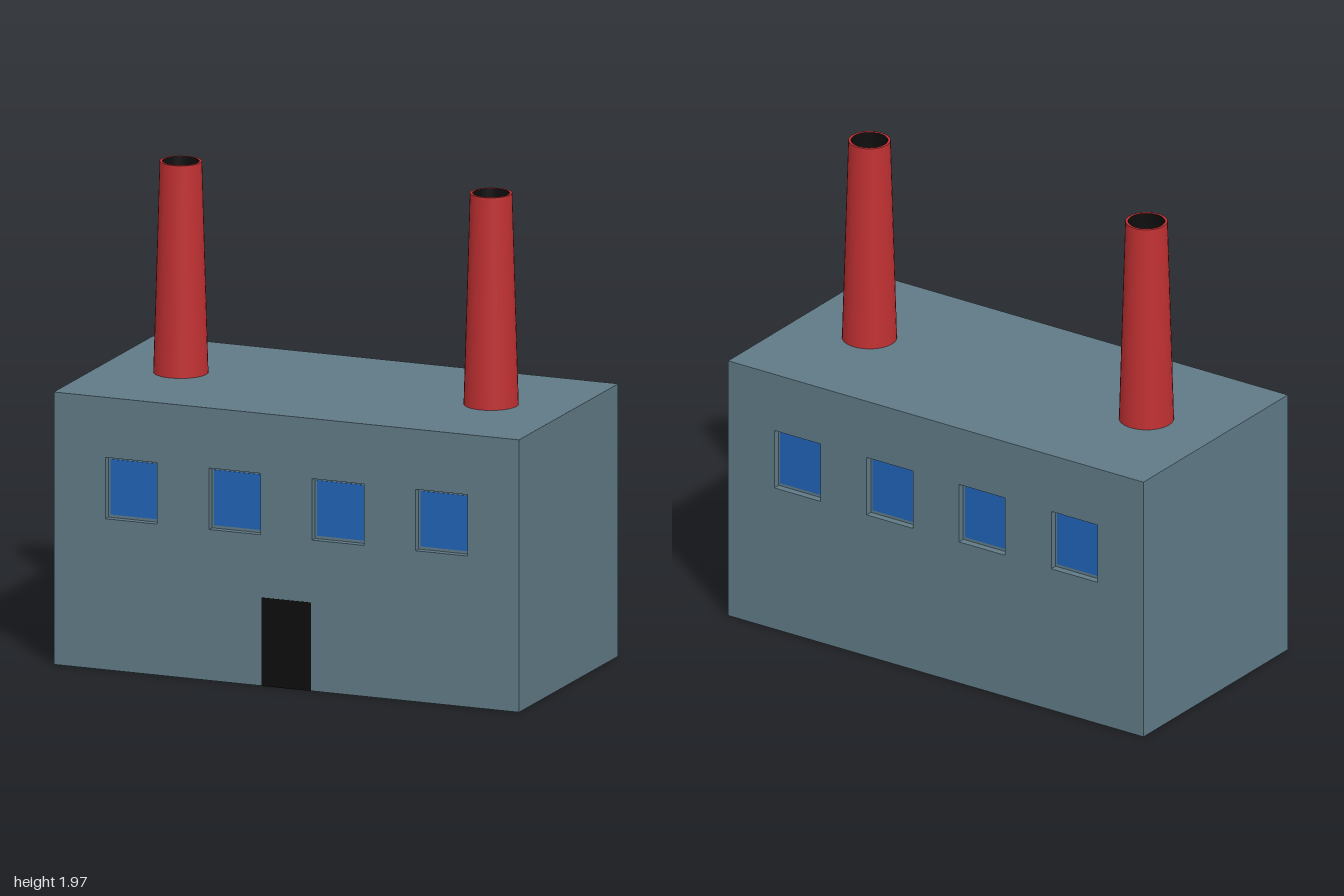
import * as THREE from 'three';

const mat = (name, color) => new THREE.MeshStandardMaterial({ name, color });

export function createModel() {
  const wallMat = mat('blueGreyWall', 0x607a86);
  const glassMat = mat('blueGlass', 0x2163b6);
  const brickMat = mat('redChimney', 0xc03032);
  const blackMat = mat('black', 0x0d0d0d);

  const W = 2, H = 1.11, D = 1, recess = 0.03;
  const winX = [-0.667, -0.222, 0.222, 0.667], winY = 0.74;
  const model = new THREE.Group();
  model.name = 'factory';

  const add = (parent, name, geometry, material, x = 0, y = 0, z = 0) => {
    const mesh = new THREE.Mesh(geometry, material);
    mesh.name = name;
    mesh.position.set(x, y, z);
    parent.add(mesh);
    return mesh;
  };

  // Solid core; its front and back faces form the backs of the window recesses
  add(model, 'buildingCore', new THREE.BoxGeometry(W, H, D - 2 * recess), wallMat, 0, H / 2, 0);

  // Outer wall skin with square window openings
  const rect = (target, x0, y0, x1, y1) => {
    target.moveTo(x0, y0);
    target.lineTo(x1, y0);
    target.lineTo(x1, y1);
    target.lineTo(x0, y1);
    target.closePath();
    return target;
  };
  const skin = rect(new THREE.Shape(), -W / 2, 0, W / 2, H);
  for (const x of winX) {
    skin.holes.push(rect(new THREE.Path(), x - 0.111, winY - 0.125, x + 0.111, winY + 0.125));
  }
  const skinGeo = new THREE.ExtrudeGeometry(skin, { depth: recess, bevelEnabled: false });
  const paneGeo = new THREE.BoxGeometry(0.204, 0.226, 0.004);

  // Front and back facades, each with four recessed panes
  for (const [side, turn] of [['front', 0], ['back', Math.PI]]) {
    const facade = new THREE.Group();
    facade.name = side + 'Facade';
    facade.rotation.y = turn;
    add(facade, side + 'Wall', skinGeo, wallMat, 0, 0, D / 2 - recess);
    for (const x of winX) {
      add(facade, side + 'WindowPane', paneGeo, glassMat, x, winY, D / 2 - recess);
    }
    model.add(facade);
  }

  // Door on the front only
  add(model, 'door', new THREE.BoxGeometry(0.212, 0.36, 0.006), blackMat, 0, 0.18, D / 2 - 0.001);

  // Tapered chimneys with a thin rim and a dark flue
  const stackH = 0.86, rBase = 0.109, rTop = 0.084, rFlue = 0.073, flueDepth = 0.12;
  const shaftGeo = new THREE.CylinderGeometry(rTop, rBase, stackH, 32, 1, true);
  const rimGeo = new THREE.RingGeometry(rFlue, rTop, 32).rotateX(-Math.PI / 2);
  const flueGeo = new THREE.CylinderGeometry(rFlue, rFlue, flueDepth, 32, 1, true).scale(-1, 1, 1);
  // Reverse the winding so the flue wall faces inward
  const floorGeo = new THREE.CircleGeometry(rFlue, 32).rotateX(-Math.PI / 2);
  for (const [side, x] of [['right', -0.667], ['left', 0.667]]) {
    const chimney = new THREE.Group();
    chimney.name = side + 'Chimney';
    chimney.position.set(x, H, 0);
    add(chimney, 'chimneyShaft', shaftGeo, brickMat, 0, stackH / 2, 0);
    add(chimney, 'chimneyRim', rimGeo, brickMat, 0, stackH, 0);
    add(chimney, 'chimneyFlue', flueGeo, blackMat, 0, stackH - flueDepth / 2, 0);
    add(chimney, 'flueFloor', floorGeo, blackMat, 0, stackH - flueDepth, 0);
    model.add(chimney);
  }

  return model;
}
